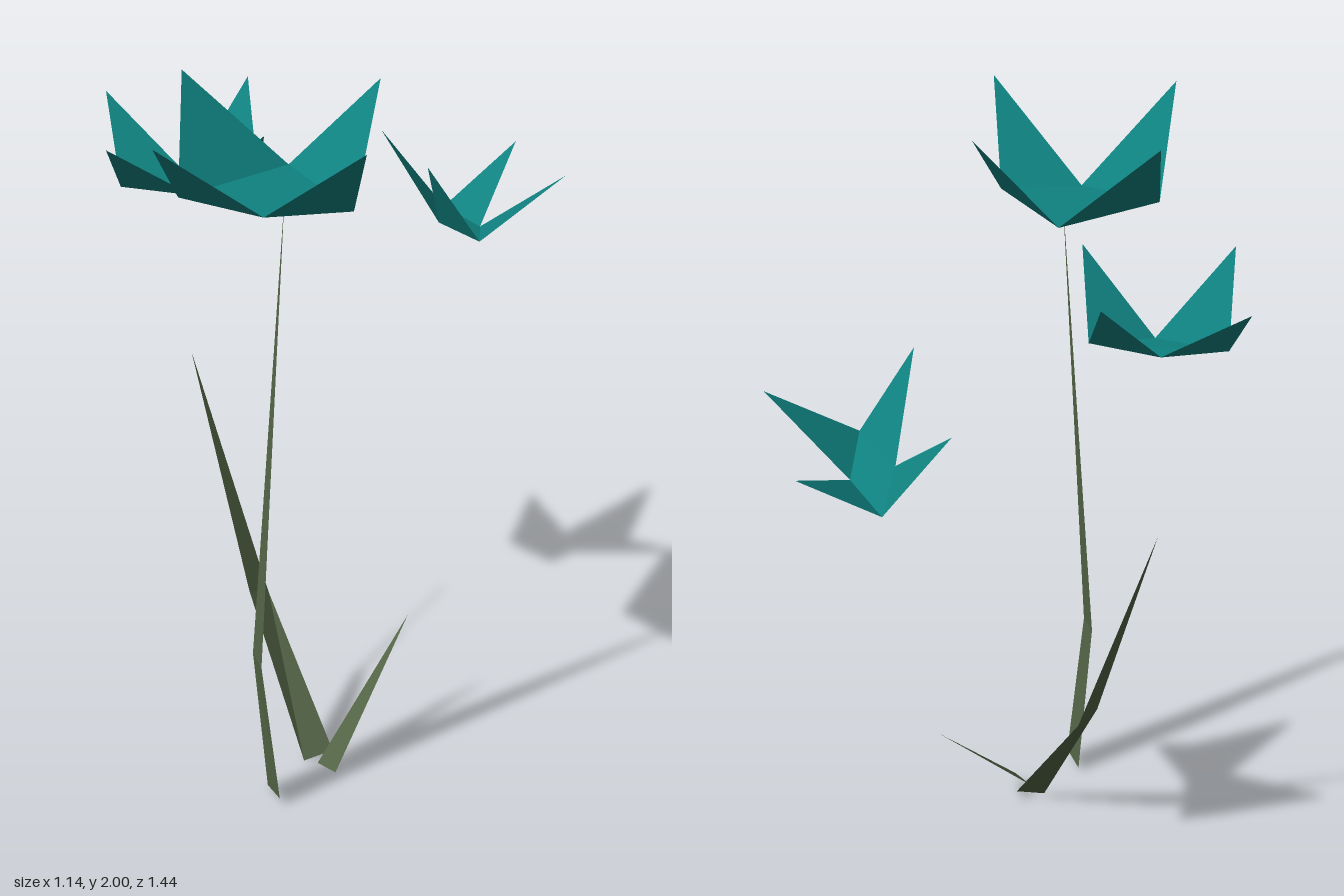
import * as THREE from 'three';

// Flat-shaded sheet from a few triangles, each given as three points
function sheet(name, triangles, material) {
  const g = new THREE.BufferGeometry();
  g.setAttribute('position', new THREE.Float32BufferAttribute(triangles.flat(2), 3));
  g.computeVertexNormals();
  const mesh = new THREE.Mesh(g, material);
  mesh.name = name;
  return mesh;
}

// Four-cornered cup with one pointed petal rising from each side
function flower(name, corners, tips, material) {
  const group = new THREE.Group();
  group.name = name;
  const [a, b, c, d] = corners;
  group.add(sheet('flowerBase', [[a, b, c], [a, c, d]], material));
  tips.forEach((tip, i) => {
    group.add(sheet('petal', [[corners[i], tip, corners[(i + 1) % 4]]], material));
  });
  return group;
}

// Bent ribbon narrowing to a point
function stem(name, base, middle, tip, material) {
  const [a, b] = base, [c, d] = middle;
  return sheet(name, [[a, b, c], [b, d, c], [c, d, tip]], material);
}

export function createModel() {
  const petalTeal = new THREE.MeshStandardMaterial({ color: 0x0f8280, side: THREE.DoubleSide, flatShading: true });
  petalTeal.name = 'petalTeal';
  const stemGreen = new THREE.MeshStandardMaterial({ color: 0x526345, side: THREE.DoubleSide, flatShading: true });
  stemGreen.name = 'stemGreen';

  const model = new THREE.Group();
  model.name = 'flowers';

  // Flowers: corners in order, tip i sits between corners i and i + 1
  model.add(flower('tallFlower',
    [[0.09, 1.76, 0.23], [0.39, 1.76, 0.25], [0.295, 1.76, 0.44], [0.09, 1.76, 0.545]],
    [[0.225, 1.99, 0.055], [0.57, 2, 0.343], [0.27, 2, 0.72], [-0.09, 1.99, 0.413]], petalTeal));
  model.add(flower('sideFlower',
    [[-0.2, 1.578, 0.127], [-0.342, 1.565, 0.246], [-0.396, 1.56, 0.415], [-0.242, 1.565, 0.3]],
    [[-0.396, 1.765, 0.025], [-0.573, 1.742, 0.343], [-0.24, 1.756, 0.544], [-0.053, 1.774, 0.205]], petalTeal));
  model.add(flower('backFlower',
    [[-0.255, 1.3, -0.508], [-0.075, 1.317, -0.492], [0.065, 1.362, -0.381], [-0.115, 1.343, -0.385]],
    [[-0.223, 1.447, -0.724], [0.123, 1.51, -0.615], [0.003, 1.585, -0.256], [-0.36, 1.523, -0.373]], petalTeal));

  // Stems
  model.add(stem('tallStem',
    [[0.183, 0.015, 0.381], [0.264, 0.028, 0.397]],
    [[0.186, 0.46, 0.422], [0.254, 0.46, 0.441]], [0.237, 1.76, 0.342], stemGreen));
  model.add(stem('leaningStem',
    [[0.167, 0.024, 0.159], [0.14, 0.005, 0.234]],
    [[-0.113, 0.39, 0.173], [-0.11, 0.42, 0.237]], [-0.34, 1.055, 0.254], stemGreen));

  // Short leaf
  model.add(sheet('shortLeaf',
    [[[0.18, 0.015, 0.217], [0.25, 0.022, 0.208], [0.128, 0.335, -0.118]]], stemGreen));
  return model;
}
